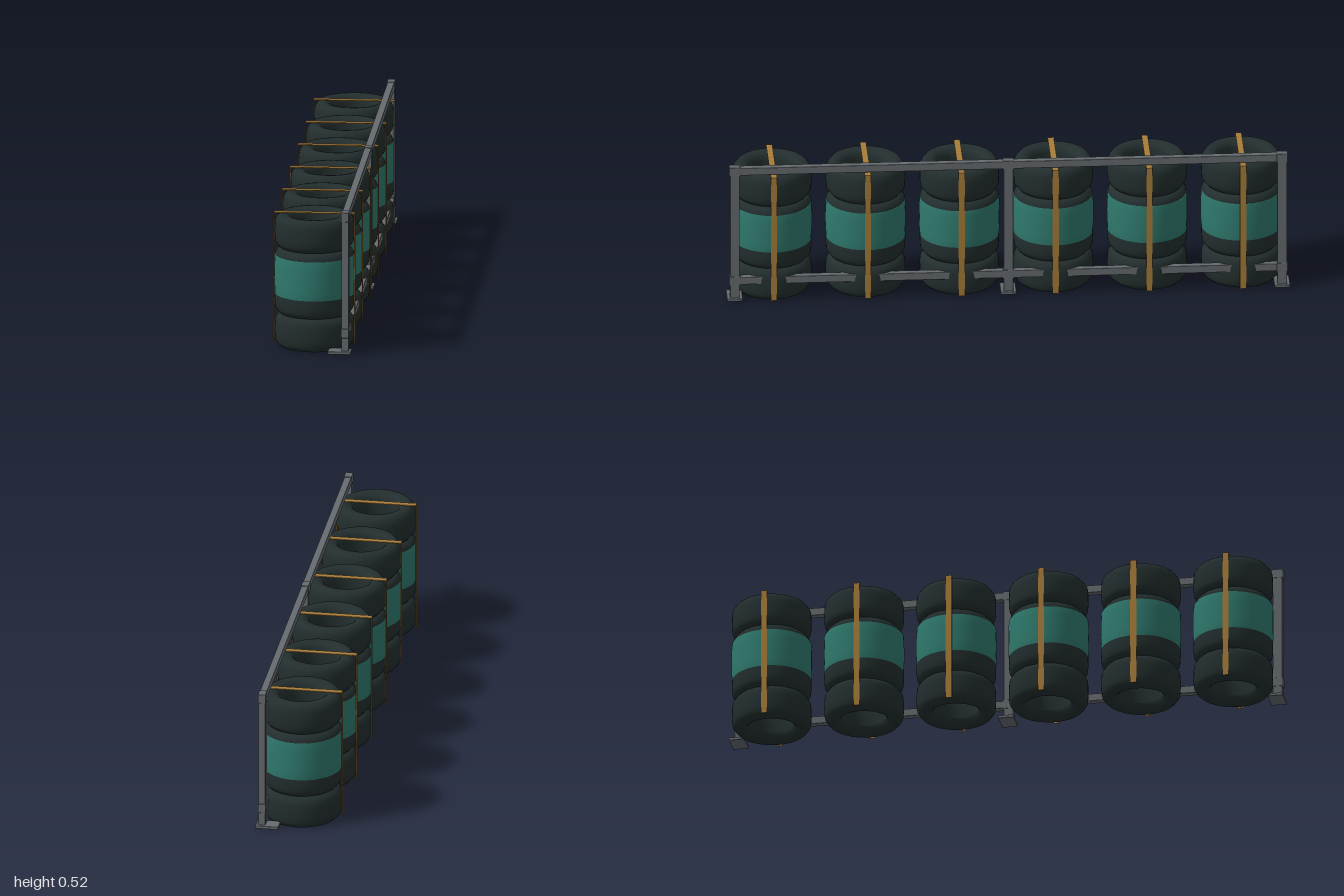
import * as THREE from 'three';
import { RoundedBoxGeometry } from 'three/addons/geometries/RoundedBoxGeometry.js';

const material = (name, color) => {
  const m = new THREE.MeshStandardMaterial({ color });
  m.name = name;
  return m;
};

export function createModel() {
  const rubber = material('black rubber', 0x232e2e);
  const teal = material('teal wrap', 0x2f796d);
  const steel = material('grey steel', 0x666b6f);
  const webbing = material('ochre webbing', 0xa67c3a);

  const model = new THREE.Group();
  model.name = 'tyreBarrier';

  const add = (parent, name, geometry, mat, x, y, z) => {
    const mesh = new THREE.Mesh(geometry, mat);
    mesh.name = name;
    mesh.position.set(x, y, z);
    parent.add(mesh);
    return mesh;
  };
  // Steel block given by its centre and size, with softly bevelled edges
  const steelBox = (parent, name, x, y, z, w, h, d) =>
    add(parent, name, new RoundedBoxGeometry(w, h, d, 1, 0.002), steel, x, y, z);

  const lathe = (points) =>
    new THREE.LatheGeometry(points.map(([r, y]) => new THREE.Vector2(r, y)), 48);

  // Tyre cross-section: tread going up, then the inner wall going down
  const tyreGeometry = lathe([
    [0.079, 0.026], [0.084, 0.012], [0.095, 0.003], [0.11, 0.0], [0.124, 0.001],
    [0.133, 0.011], [0.139, 0.021], [0.141, 0.04], [0.1415, 0.06], [0.141, 0.08],
    [0.139, 0.098], [0.133, 0.108], [0.124, 0.118], [0.11, 0.119], [0.095, 0.116],
    [0.084, 0.107], [0.079, 0.093], [0.077, 0.06], [0.079, 0.026],
  ]);

  // Wrap around the two middle tyres, with a very slight bulge
  const bandGeometry = lathe([
    [0.139, 0.19], [0.1415, 0.191], [0.1425, 0.22], [0.143, 0.262],
    [0.1425, 0.304], [0.1415, 0.332], [0.139, 0.333],
  ]);

  const strapWidth = 0.022;
  const sideStrap = new THREE.BoxGeometry(0.002, 0.478, strapWidth);
  const topStrap = new THREE.BoxGeometry(0.287, 0.003, strapWidth);

  // Six strapped stacks of four tyres
  for (let i = 0; i < 6; i++) {
    const stack = new THREE.Group();
    stack.name = `tyreStack${i + 1}`;
    stack.position.z = (i - 2.5) / 3;
    for (let level = 0; level < 4; level++) {
      add(stack, 'tyre', tyreGeometry, rubber, 0, level * 0.12 + 0.0005, 0);
    }
    add(stack, 'wrapBand', bandGeometry, teal, 0, 0, 0);
    for (const side of [-1, 1]) {
      add(stack, 'sideStrap', sideStrap, webbing, side * 0.1428, 0.244, 0);
    }
    add(stack, 'topStrap', topStrap, webbing, 0, 0.4815, 0);
    model.add(stack);
  }

  // Steel rail frame along the left side
  const frame = new THREE.Group();
  frame.name = 'railFrame';
  model.add(frame);
  const railX = 0.121;
  const railHeights = { topRail: 0.504, lowerRail: 0.08 };

  for (const [name, y] of Object.entries(railHeights)) {
    steelBox(frame, name, railX, y, 0, 0.025, 0.028, 1.98);
  }
  for (const z of [-0.972, 0, 0.972]) {
    steelBox(frame, 'post', railX, 0.262, z, 0.026, 0.5, 0.034);
    steelBox(frame, 'basePlate', 0.1015, 0.0105, z, 0.083, 0.011, 0.056);
    for (const y of Object.values(railHeights)) {
      steelBox(frame, 'railCollar', railX, y, z, 0.028, 0.034, 0.04);
    }
  }

  return model;
}
